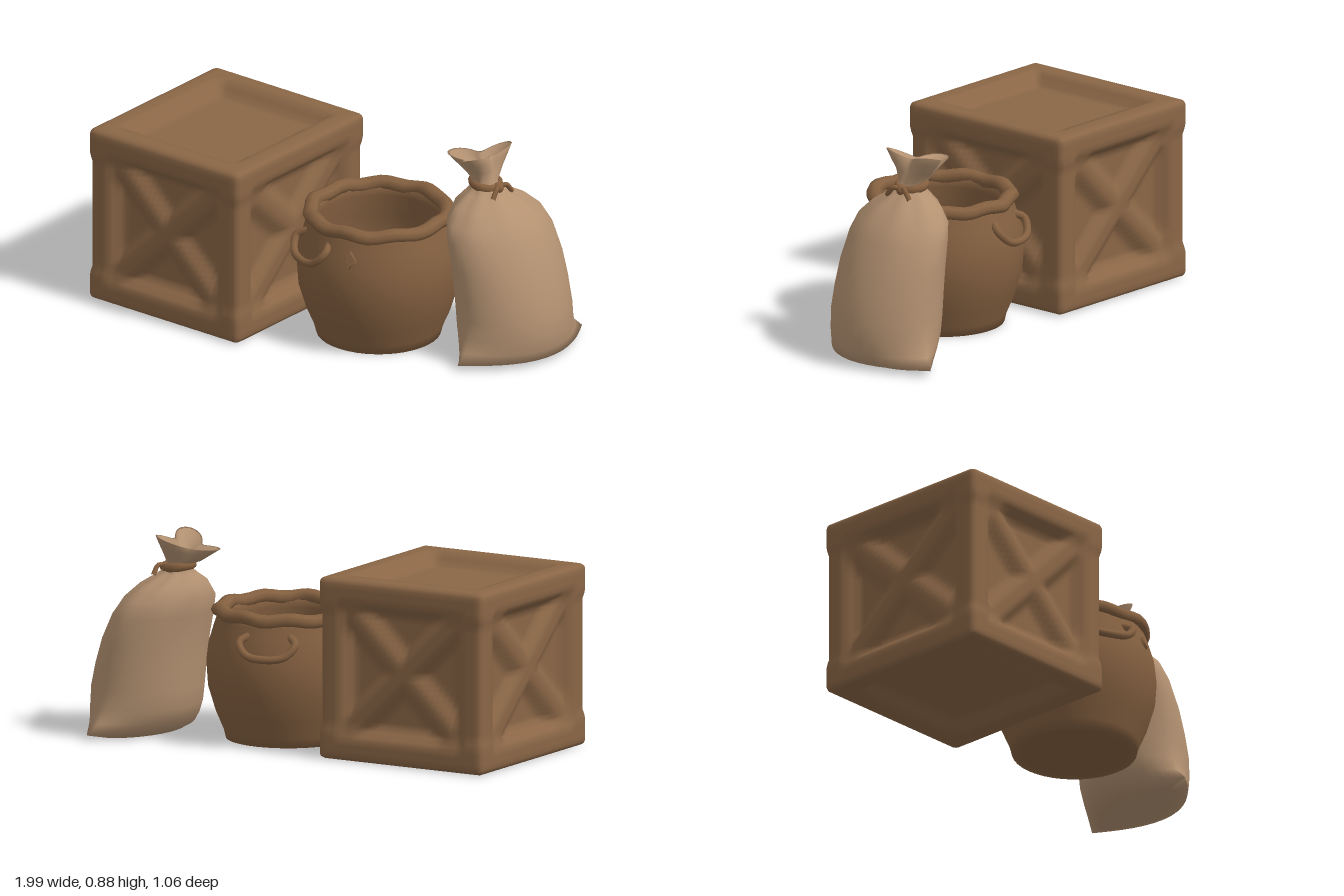
import * as THREE from 'three';
import { mergeVertices } from 'three/addons/utils/BufferGeometryUtils.js';

const crateWood = new THREE.MeshStandardMaterial({ color: 0x8a6646 });
const potClay = new THREE.MeshStandardMaterial({ color: 0x846040 });
const sackCloth = new THREE.MeshStandardMaterial({ color: 0xb39171 });
const twine = new THREE.MeshStandardMaterial({ color: 0x86603f });

const { smoothstep, clamp } = THREE.MathUtils;

function mesh(name, geometry, material) {
  const m = new THREE.Mesh(geometry, material);
  m.name = name;
  return m;
}

// Weld the seams and recompute smooth normals
function smooth(geometry) {
  geometry.deleteAttribute('uv');
  geometry.deleteAttribute('normal');
  const g = mergeVertices(geometry, 1e-4);
  g.computeVertexNormals();
  return g;
}

// Skin closed rings of points, ordered from bottom to top
function loft(rings) {
  const n = rings[0].length, pos = [], idx = [];
  rings.forEach(ring => ring.forEach(p => pos.push(...p)));
  for (let i = 0; i < rings.length - 1; i++) {
    for (let j = 0; j < n; j++) {
      const a = i * n + j, b = i * n + (j + 1) % n;
      idx.push(a, a + n, b, b, a + n, b + n);
    }
  }
  const g = new THREE.BufferGeometry();
  g.setAttribute('position', new THREE.Float32BufferAttribute(pos, 3));
  g.setIndex(idx);
  return smooth(g);
}

// Crate: box with soft edges, sunken panels and crossed braces on the sides
function makeCrate() {
  const half = [0.41, 0.395, 0.437], frame = 0.12, round = 0.025;
  const g = new THREE.BoxGeometry(half[0] * 2, half[1] * 2, half[2] * 2, 36, 36, 36);
  const pos = g.attributes.position, nor = g.attributes.normal;
  const v = new THREE.Vector3(), inner = new THREE.Vector3();
  for (let i = 0; i < pos.count; i++) {
    v.fromBufferAttribute(pos, i);
    const n = [nor.getX(i), nor.getY(i), nor.getZ(i)];
    const p = v.toArray();
    const axis = n.findIndex(c => Math.abs(c) > 0.5);
    const [ua, va] = [0, 1, 2].filter(k => k !== axis);
    const hu = half[ua] - frame, hv = half[va] - frame;
    const edge = Math.min(half[ua] - Math.abs(p[ua]), half[va] - Math.abs(p[va]));
    let depth = 0.055 * smoothstep(edge, frame - 0.025, frame + 0.03);
    if (axis !== 1) {
      const s = p[ua] / hu, t = p[va] / hv;
      const d = Math.min(Math.abs(s - t), Math.abs(s + t)) * hu * 0.71;
      depth = Math.min(depth, 0.015 + 0.04 * smoothstep(d, 0.025, 0.085));
    }
    // rounded edges
    inner.set(...p.map((c, k) => clamp(c, -half[k] + round, half[k] - round)));
    const off = v.clone().sub(inner);
    if (off.length() > 0) v.copy(inner).addScaledVector(off.normalize(), round);
    v.setComponent(axis, v.getComponent(axis) - n[axis] * depth);
    // slightly thicker corner ends
    const waist = 1 - 0.02 * (1 - smoothstep(Math.abs(v.y), 0.24, 0.28));
    v.x *= waist;
    v.z *= waist;
    pos.setXYZ(i, v.x, v.y, v.z);
  }
  const crate = mesh('crate', smooth(g), crateWood);
  crate.position.set(-0.585, 0.405, 0.08);
  return crate;
}

// Pot: one turned wall, a lumpy rolled rim and two drooping handles
function makePot() {
  const pot = new THREE.Group();
  pot.name = 'pot';
  const profile = [[0, 0.03], [0.22, 0.03], [0.235, 0.01], [0.268, 0.01], [0.278, 0.05], [0.312, 0.13],
    [0.345, 0.24], [0.352, 0.34], [0.343, 0.42], [0.322, 0.49], [0.308, 0.535], [0.3, 0.565], [0.27, 0.565],
    [0.265, 0.52], [0.285, 0.42], [0.3, 0.3], [0.28, 0.16], [0.24, 0.09], [0, 0.08]]
    .map(([r, y]) => new THREE.Vector2(r, y));
  pot.add(mesh('potBody', smooth(new THREE.LatheGeometry(profile, 40)), potClay));

  const rim = new THREE.TorusGeometry(0.293, 0.034, 8, 48).rotateX(Math.PI / 2);
  const p = rim.attributes.position;
  for (let i = 0; i < p.count; i++) {
    const a = Math.atan2(p.getZ(i), p.getX(i));
    const k = 1 + 0.012 * Math.sin(a * 7) + 0.01 * Math.sin(a * 11 + 1);
    p.setXYZ(i, p.getX(i) * k, p.getY(i) * 0.9 + 0.566 + 0.006 * Math.sin(a * 9 + 2), p.getZ(i) * k);
  }
  pot.add(mesh('potRim', smooth(rim), potClay));

  for (const [name, dx, dz] of [['frontHandle', -0.14, 0.33], ['backHandle', -0.09, -0.33]]) {
    const curve = new THREE.CatmullRomCurve3([
      [-0.09, 0.5, 0.29], [-0.125, 0.475, 0.33], [-0.085, 0.425, 0.365], [0, 0.412, 0.378],
      [0.085, 0.425, 0.365], [0.125, 0.475, 0.33], [0.09, 0.5, 0.29],
    ].map(c => new THREE.Vector3(...c)));
    const handle = mesh(name, new THREE.TubeGeometry(curve, 28, 0.017, 8), potClay);
    handle.rotation.y = Math.atan2(dx, dz);
    pot.add(handle);
  }

  // small diamond chip on the front wall
  const chip = mesh('potChip', new THREE.CylinderGeometry(0.03, 0.04, 0.016, 4), potClay);
  chip.geometry.rotateX(Math.PI / 2).scale(0.8, 1.1, 1);
  const turn = new THREE.Group();
  turn.name = 'potChipMount';
  chip.position.set(0, 0.465, 0.332);
  chip.rotation.x = -0.28;
  turn.rotation.y = 0.3;
  turn.add(chip);
  pot.add(turn);

  pot.position.set(0.187, 0, 0);
  return pot;
}

// Sack: leaning pillow body with pointed bottom corners and a gathered crown
function makeSack() {
  const sack = new THREE.Group();
  sack.name = 'sack';
  const seg = 40, angles = Array.from({ length: seg }, (_, j) => j / seg * Math.PI * 2);

  // y, centre x, half thickness, half width along the seam, corner pinch
  const body = [[0.01, 0.79, 0, 0, 0], [0.012, 0.785, 0.11, 0.24, 0.3], [0.035, 0.8, 0.175, 0.345, 1.1],
    [0.08, 0.785, 0.205, 0.305, 0.55], [0.14, 0.775, 0.222, 0.282, 0.25], [0.22, 0.768, 0.224, 0.272, 0.1],
    [0.32, 0.752, 0.216, 0.27, 0.1], [0.43, 0.728, 0.203, 0.267, 0.1], [0.54, 0.692, 0.187, 0.26, 0.15],
    [0.61, 0.66, 0.17, 0.232, 0.1], [0.67, 0.635, 0.128, 0.165, 0], [0.71, 0.62, 0.085, 0.095, 0],
    [0.735, 0.614, 0.058, 0.06, 0], [0.76, 0.606, 0.055, 0.058, 0]];
  const rings = body.map(([y, cx, a, b, pinch]) => angles.map(t => {
    const fold = 1 + 0.05 * smoothstep(y, 0.56, 0.7) * Math.sin(t * 8);
    const c = Math.cos(t), n = a * fold * Math.sign(c) * Math.abs(c) ** (1 + pinch);
    const s = b * fold * Math.sin(t);
    return [cx + 0.98 * n - 0.2 * s, y, -0.2 + 0.2 * n + 0.98 * s];
  }));

  // crown: y, centre x, radius, lobe size; flares out, then folds back inside
  const crown = [[0.795, 0.588, 0.075, 0.015], [0.83, 0.572, 0.095, 0.03], [0.86, 0.558, 0.112, 0.042],
    [0.857, 0.558, 0.1, 0.042], [0.82, 0.575, 0.055, 0.025], [0.795, 0.585, 0, 0]];
  for (const [y, cx, r, lobe] of crown) {
    rings.push(angles.map(t => {
      const wave = -Math.cos(3 * t), k = r + lobe * wave;
      const x = k * Math.cos(t);
      return [cx + x, y + 0.24 * x + lobe * 0.3 * wave, -0.213 + k * Math.sin(t)];
    }));
  }
  sack.add(mesh('sackCloth', loft(rings), sackCloth));

  // twine around the neck with a knot and loose ends
  const tie = mesh('sackTie', new THREE.TorusGeometry(0.06, 0.016, 8, 28), twine);
  tie.geometry.rotateX(Math.PI / 2).scale(1, 1.3, 1);
  tie.position.set(0.61, 0.745, -0.203);
  tie.rotation.z = -0.2;
  const knot = mesh('tieKnot', new THREE.SphereGeometry(0.024, 10, 8), twine);
  knot.position.set(0.678, 0.735, -0.205);
  sack.add(tie, knot);
  for (const side of [-1, 1]) {
    const curve = new THREE.CatmullRomCurve3([[0.678, 0.738, -0.205], [0.695, 0.745, -0.205 + side * 0.03],
      [0.7, 0.705, -0.205 + side * 0.065]].map(c => new THREE.Vector3(...c)));
    sack.add(mesh('tieEnd', new THREE.TubeGeometry(curve, 10, 0.011, 6), twine));
  }
  return sack;
}

export function createModel() {
  const model = new THREE.Group();
  model.name = 'storageGoods';
  model.add(makeCrate(), makePot(), makeSack());
  return model;
}
